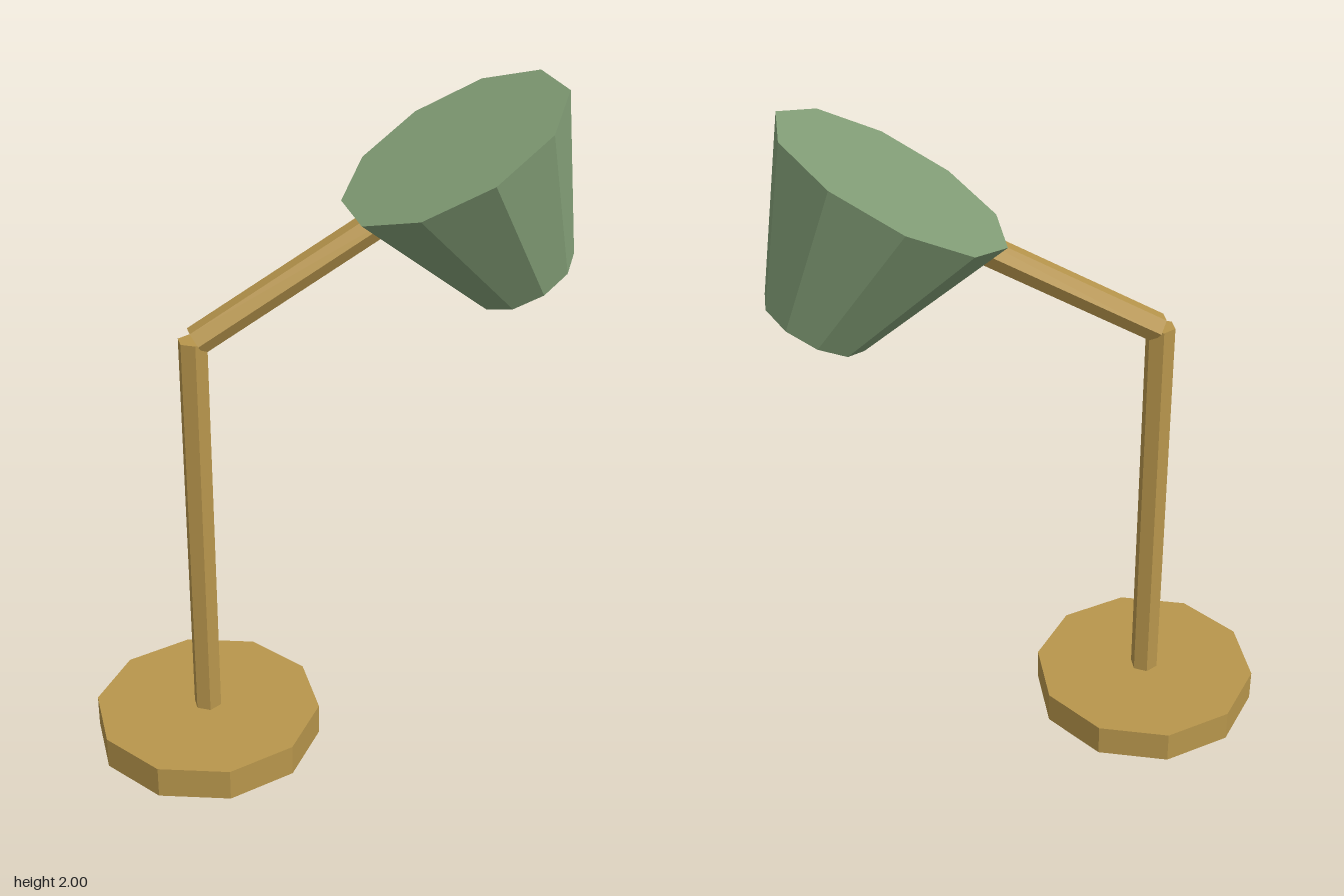
import * as THREE from 'three';

export function createModel() {
  const lamp = new THREE.Group();
  lamp.name = 'deskLamp';

  const paint = (color) => new THREE.MeshStandardMaterial({ color, flatShading: true });
  const brass = paint(0xb8964c);
  const green = paint(0x84a078);
  const glass = paint(0xc8ac90);

  const add = (name, geometry, material, x, y, tilt = 0) => {
    const mesh = new THREE.Mesh(geometry, material);
    mesh.name = name;
    mesh.position.set(x, y, 0);
    mesh.rotation.z = tilt;
    lamp.add(mesh);
    return mesh;
  };

  const poleX = -0.387;
  const slope = Math.PI / 6;
  const rodRadius = 0.0433;

  // Ten-sided foot and six-sided upright
  add('base', new THREE.CylinderGeometry(0.348, 0.348, 0.1, 10), brass, poleX, 0.05);
  add('pole', new THREE.CylinderGeometry(rodRadius, rodRadius, 1.29, 6), brass, poleX, 0.695);

  // Arm rising at 30 degrees, its far end hidden inside the shade
  const armLength = 0.78;
  add('arm', new THREE.CylinderGeometry(rodRadius, rodRadius, armLength, 6), brass,
    -0.379 + Math.cos(slope) * armLength / 2,
    1.336 + Math.sin(slope) * armLength / 2,
    slope - Math.PI / 2);

  // Closed, tilted shade, wide end up
  add('shade', new THREE.CylinderGeometry(0.348, 0.155, 0.462, 10), green, 0.468, 1.635, slope);

  // Small faceted bulb poking out of the narrow end
  add('bulb', new THREE.SphereGeometry(0.063, 6, 2), glass, 0.553, 1.445);

  return lamp;
}
